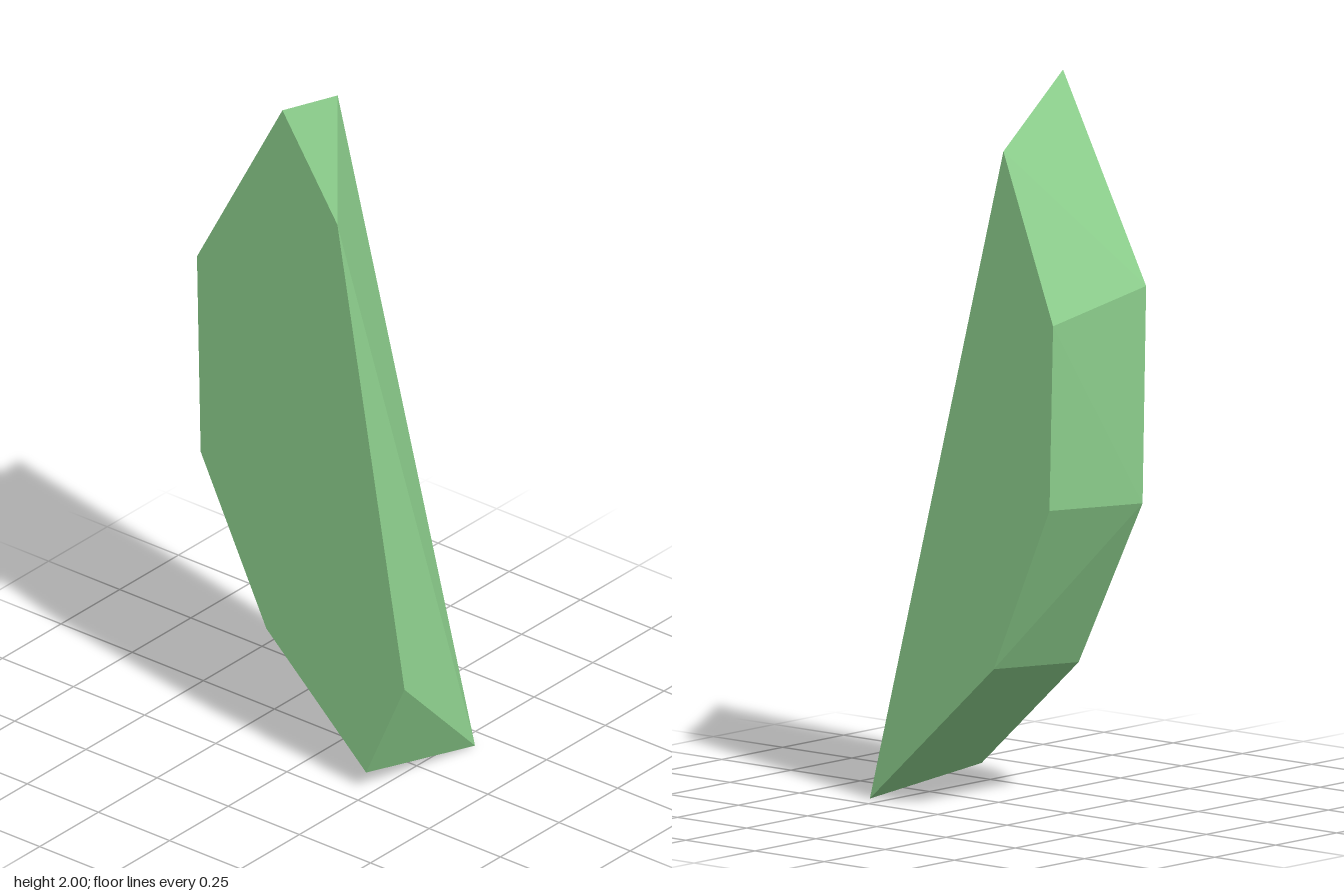
import * as THREE from 'three';
import { ConvexGeometry } from 'three/addons/geometries/ConvexGeometry.js';

// Outlines of the two flat sides as [y, z]
const LEFT_OUTLINE = [[0, 0.3], [1.84, -0.187], [1.38, -0.368], [0.87, -0.355], [0.41, -0.152]];
const RIGHT_OUTLINE = [
  [2, -0.065], [1.715, 0.13], [0.36, 0.368], [0.055, 0.232],
  [0.375, -0.122], [0.84, -0.355], [1.44, -0.368],
];

// Place an outline on a side plane that leans slightly with z
const placeOutline = (outline, side) =>
  outline.map(([y, z]) => new THREE.Vector3(side * 0.191 - 0.011 * z, y, z));

export function createModel() {
  const group = new THREE.Group();
  group.name = 'crystalShard';

  // Faceted shard: the convex body spanned by its two sides
  const geometry = new ConvexGeometry([
    ...placeOutline(LEFT_OUTLINE, 1),
    ...placeOutline(RIGHT_OUTLINE, -1),
  ]);
  const material = new THREE.MeshStandardMaterial({ color: 0x8ed18e, flatShading: true });
  const shard = new THREE.Mesh(geometry, material);
  shard.name = 'shard';
  group.add(shard);

  return group;
}
